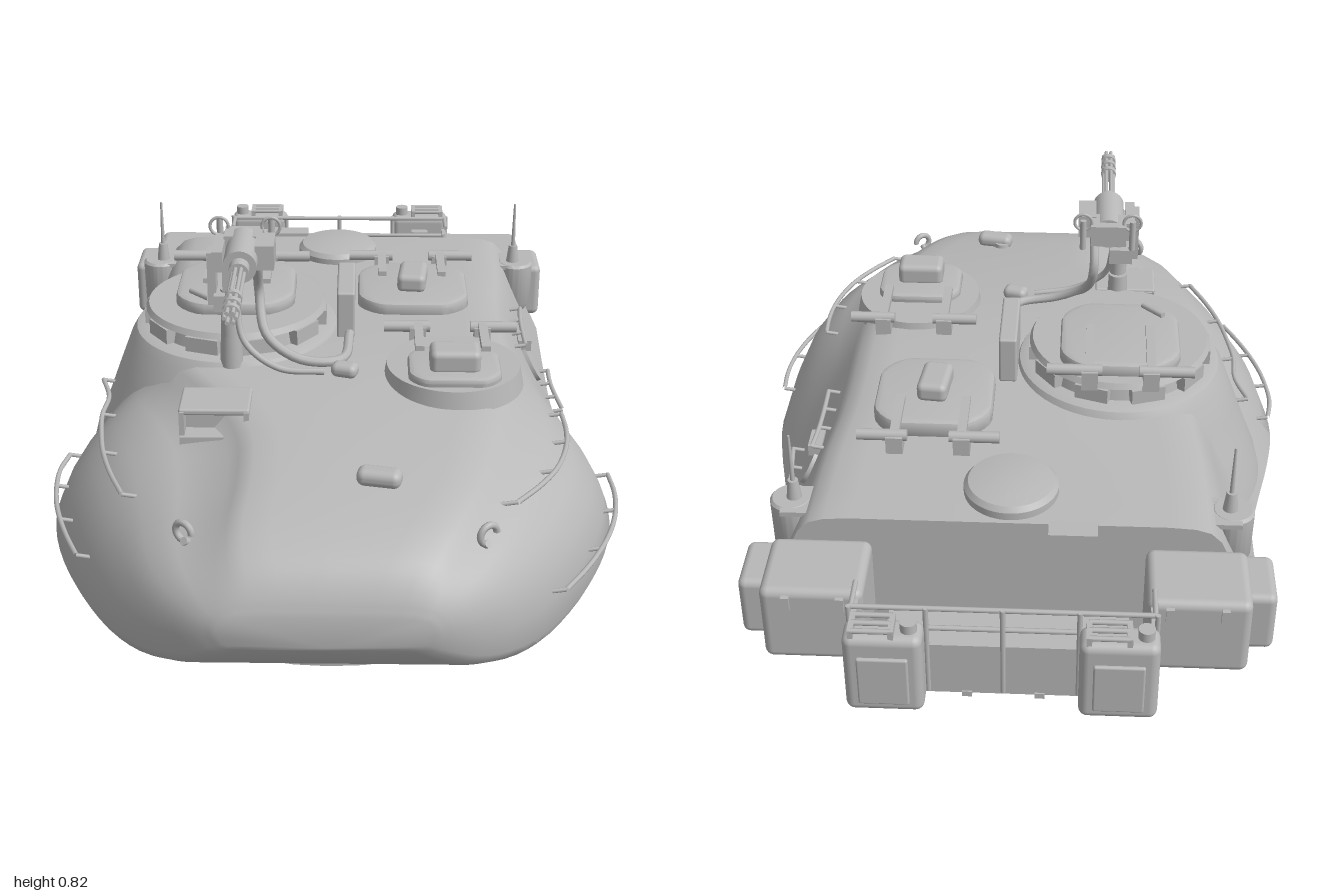
import * as THREE from 'three';
import { toCreasedNormals } from 'three/addons/utils/BufferGeometryUtils.js';
import { RoundedBoxGeometry } from 'three/addons/geometries/RoundedBoxGeometry.js';

const grey = new THREE.MeshStandardMaterial({ color: 0xb8b8b8 });
grey.name = 'plain grey';
const V = (x, y, z) => new THREE.Vector3(x, y, z);
const { lerp, mapLinear, smoothstep } = THREE.MathUtils;

// Hull stations along z: half width, left top width, bottom height, top height, right top width
const stationZ = [-0.63, -0.35, -0.2, -0.05, 0.1, 0.25, 0.4, 0.55, 0.7, 0.82, 0.9, 0.95, 0.985, 1];
const stationV = [
  0.6, 0.46, 0.135, 0.46, 0.46, 0.6, 0.45, 0.093, 0.465, 0.45, 0.605, 0.435, 0.071, 0.47, 0.435,
  0.635, 0.43, 0.05, 0.475, 0.43, 0.67, 0.43, 0.045, 0.48, 0.42, 0.692, 0.425, 0.045, 0.478, 0.39,
  0.68, 0.41, 0.045, 0.465, 0.29, 0.635, 0.38, 0.045, 0.445, 0.22, 0.56, 0.34, 0.045, 0.418, 0.21,
  0.475, 0.29, 0.048, 0.39, 0.22, 0.395, 0.25, 0.065, 0.36, 0.22, 0.325, 0.225, 0.095, 0.327, 0.21,
  0.26, 0.205, 0.14, 0.28, 0.2, 0.215, 0.19, 0.17, 0.245, 0.19];
const spline = new THREE.CubicInterpolant(stationZ, stationV, 5, new Float32Array(5));

// Half cross-section, bottom centre to top centre; the flanks swell towards the nose
function profile(z, side) {
  const [w, left, b, h, right] = spline.evaluate(z), t = side > 0 ? left : right, d = h - b;
  const ax = w, ay = b + d * 0.1, bx = t + 0.02, by = h - d * 0.12;
  const len = Math.hypot(bx - ax, by - ay), swell = (side > 0 ? 0.19 : 0.25) * d * smoothstep(z, 0, 0.6);
  const flank = [0.2, 0.4, 0.6, 0.8].map(f => {
    const k = swell * 4 * f * (1 - f) / len;
    return [lerp(ax, bx, f) + (by - ay) * k, lerp(ay, by, f) + (ax - bx) * k];
  });
  return [[0, b], [w - 0.05, b], [w - 0.012, b + d * 0.03], [ax, ay], ...flank, [bx, by],
    [t - 0.005, h - d * 0.045], [t - 0.04, h - d * 0.012], [t - 0.1, h], [0, h]];
}

// Distance of the flank from the middle at a given height, with the cupola cone on -x
function sideX(side, z, y) {
  const p = profile(z, side), i = p.findIndex((q, k) => k > 3 && q[1] >= y);
  const hull = mapLinear(y, p[i - 1][1], p[i][1], p[i - 1][0], p[i][0]);
  const r = mapLinear(y, 0.2, 0.36, 0.372, 0.307);
  const cone = 0.25 + Math.sqrt(Math.max(0, r * r - (z - 0.03) ** 2));
  return side < 0 ? Math.max(hull, cone) : hull;
}

function hullGeometry() {
  const pos = [], idx = [], sub = 3, rows = (stationZ.length - 1) * sub + 1;
  let n = 0;
  for (let i = 0; i < rows; i++) {
    const k = Math.min(Math.floor(i / sub), stationZ.length - 2);
    const z = lerp(stationZ[k], stationZ[k + 1], i / sub - k);
    const ring = [...profile(z, 1), ...profile(z, -1).slice(1, -1).reverse().map(([x, y]) => [-x, y])];
    n = ring.length;
    ring.forEach(([x, y]) => pos.push(x, y, z));
  }
  for (let i = 0; i < rows - 1; i++) for (let j = 0; j < n; j++) {
    const a = i * n + j, b = i * n + (j + 1) % n;
    idx.push(a, b, b + n, a, b + n, a + n);
  }
  const last = (rows - 1) * n;
  for (let j = 1; j < n - 1; j++) idx.push(0, j + 1, j, last, last + j, last + j + 1);
  const g = new THREE.BufferGeometry();
  g.setAttribute('position', new THREE.Float32BufferAttribute(pos, 3));
  g.setIndex(idx);
  return toCreasedNormals(g, 0.8);
}

export function createModel() {
  const root = new THREE.Group();
  root.name = 'turret';
  const add = (name, g, x = 0, y = 0, z = 0) => {
    const m = new THREE.Mesh(g, grey);
    m.name = name;
    m.position.set(x, y, z);
    root.add(m);
    return m;
  };
  const box = (name, w, h, d, x, y, z) => add(name, new THREE.BoxGeometry(w, h, d), x, y, z);
  const round = (name, w, h, d, r, x, y, z) => add(name, new RoundedBoxGeometry(w, h, d, 3, r), x, y, z);
  const disc = (name, r1, r2, h, x, y, z) => add(name, new THREE.CylinderGeometry(r1, r2, h, 48), x, y, z);
  const lathe = (name, pts, x, y, z) =>
    add(name, toCreasedNormals(new THREE.LatheGeometry(pts.map(p => new THREE.Vector2(...p)), 56), 0.6), x, y, z);
  // Straight rod between two points
  const rod = (name, a, b, r, sides = 12) => {
    const m = add(name, new THREE.CylinderGeometry(r, r, a.distanceTo(b), sides));
    m.position.copy(a).add(b).multiplyScalar(0.5);
    m.quaternion.setFromUnitVectors(V(0, 1, 0), b.clone().sub(a).normalize());
  };
  const tube = (name, pts, r) => add(name, new THREE.TubeGeometry(new THREE.CatmullRomCurve3(pts), 30, r, 8));

  // Hull and bearing ring
  add('hull', hullGeometry());
  disc('bearingRing', 0.583, 0.583, 0.05, 0, 0.025, 0.25);

  // Commander cupola
  const cx = -0.25, cz = 0.03;
  lathe('cupolaCone', [[0.385, 0.15], [0.372, 0.2], [0.335, 0.29], [0.303, 0.375], [0.27, 0.46], [0.255, 0.485],
    [0.235, 0.492], [0, 0.492]], cx, 0, cz);
  disc('cupolaDrum', 0.205, 0.215, 0.05, cx, 0.512, cz);
  for (let i = 0; i < 10; i++) {
    const a = (i + 0.5) / 10 * Math.PI * 2;
    box('visionBlock', 0.085, 0.038, 0.03, cx + Math.sin(a) * 0.215, 0.512, cz + Math.cos(a) * 0.215).rotation.y = a;
  }
  disc('cupolaRoof', 0.222, 0.23, 0.014, cx, 0.541, cz);

  // Hatches: round-cornered lid, hinge bar ends, two arms
  function hatch(x, z, y, w, d, th, hingeZ, barHalf, armX, armEnd) {
    const c = 0.26 * Math.min(w, d), a = w / 2, b = d / 2, s = new THREE.Shape();
    s.moveTo(c - a, -b).lineTo(a - c, -b).bezierCurveTo(a - c * 0.6, -b, a, c * 0.6 - b, a, c - b)
      .lineTo(a, b - c).bezierCurveTo(a, b - c * 0.6, a - c * 0.6, b, a - c, b)
      .lineTo(c - a, b).bezierCurveTo(c * 0.6 - a, b, -a, b - c * 0.6, -a, b - c)
      .lineTo(-a, c - b).bezierCurveTo(-a, c * 0.6 - b, c * 0.6 - a, -b, c - a, -b);
    const g = new THREE.ExtrudeGeometry(s, { depth: th, curveSegments: 5, bevelSize: 0.012, bevelOffset: -0.012, bevelThickness: 0.012, bevelSegments: 2 });
    add('hatchLid', toCreasedNormals(g.rotateX(-Math.PI / 2), 0.5), x, y, z);
    const top = y + th + 0.012;
    for (const e of [-1, 1]) {
      box('hingeArm', 0.022, 0.018, armEnd - hingeZ, x + e * armX, top + 0.004, (armEnd + hingeZ) / 2);
      box('hingeFoot', 0.04, 0.05, 0.04, x + e * armX, top - 0.022, hingeZ);
      rod('hingeBar', V(x + e * (armX - 0.03), top, hingeZ), V(x + e * barHalf, top, hingeZ), 0.014);
    }
  }
  hatch(cx, -0.01, 0.548, 0.3, 0.3, 0.018, -0.18, 0.18, 0.075, 0.01);
  rod('lidGrip', V(-0.36, 0.584, 0.07), V(-0.31, 0.584, 0.12), 0.008);
  disc('loaderRing', 0.16, 0.17, 0.05, 0.29, 0.473, 0.3);
  hatch(0.29, 0.34, 0.498, 0.22, 0.19, 0.008, 0.135, 0.165, 0.08, 0.28);
  round('loaderPeriscope', 0.12, 0.06, 0.08, 0.016, 0.29, 0.537, 0.355);
  hatch(0.205, -0.175, 0.468, 0.29, 0.29, 0.026, -0.37, 0.17, 0.08, -0.22);
  round('hatchPeriscope', 0.075, 0.05, 0.12, 0.016, 0.205, 0.525, -0.17).rotation.y = -0.1;

  // Rear roof ventilator
  lathe('ventilator', [[0.11, 0], [0.11, 0.022], [0.1, 0.034], [0.06, 0.041], [0, 0.043]], 0, 0.457, -0.51);

  // Gunner sight with hood and recessed window
  box('sightHousing', 0.15, 0.09, 0.09, -0.27, 0.42, 0.425);
  round('sightHood', 0.165, 0.016, 0.12, 0.006, -0.27, 0.463, 0.445);
  for (const x of [-0.345, -0.195]) box('sightCheek', 0.012, 0.09, 0.12, x, 0.42, 0.45);
  box('sightSill', 0.16, 0.03, 0.13, -0.27, 0.392, 0.455);

  // Roof lamp and small fittings
  round('roofLamp', 0.1, 0.04, 0.05, 0.018, 0.11, 0.428, 0.73).rotation.y = -0.2;
  disc('lampFoot', 0.02, 0.025, 0.04, 0.09, 0.41, 0.71);
  round('roofKnob', 0.065, 0.035, 0.045, 0.016, 0.03, 0.49, 0.325).rotation.y = -0.3;

  // Multi-barrel gun on its post
  const gx = -0.215, gy = 0.757;
  disc('gunPostBase', 0.024, 0.028, 0.12, -0.245, 0.53, 0.27);
  disc('gunPost', 0.022, 0.022, 0.12, -0.245, 0.62, 0.28);
  box('gunCradle', 0.06, 0.04, 0.08, -0.25, 0.655, 0.28);
  box('gunYoke', 0.02, 0.13, 0.05, -0.285, 0.71, 0.275);
  box('gunYoke', 0.04, 0.09, 0.04, -0.24, 0.7, 0.28);
  rod('gunBody', V(gx, gy, 0.18), V(gx, gy, 0.34), 0.04, 24);
  rod('gunCollar', V(gx, gy, 0.335), V(gx, gy, 0.375), 0.024, 20);
  box('gunReceiver', 0.09, 0.055, 0.07, gx, gy + 0.005, 0.19);
  box('ammoFeeder', 0.045, 0.06, 0.09, gx + 0.055, gy + 0.005, 0.25);
  box('gunSideBox', 0.025, 0.05, 0.12, gx - 0.055, gy, 0.25);
  for (let i = 0; i < 6; i++) {
    const a = i / 6 * Math.PI * 2, x = gx + Math.cos(a) * 0.013, y = gy + Math.sin(a) * 0.013;
    rod('gunBarrel', V(x, y, 0.34), V(x, y, 0.63), 0.005, 8);
  }
  for (const z of [0.52, 0.56, 0.595]) rod('barrelClamp', V(gx, gy, z - 0.008), V(gx, gy, z + 0.008), 0.02, 20);
  for (const x of [-0.275, -0.15]) {
    add('gunHandle', new THREE.TorusGeometry(0.022, 0.004, 8, 20), x, 0.795, 0.17);
    rod('gunGrip', V(x, 0.73, 0.15), V(x, 0.81, 0.15), 0.008);
  }
  tube('ammoChute', [V(-0.18, 0.72, 0.24), V(-0.18, 0.64, 0.2), V(-0.16, 0.55, 0.26), V(-0.08, 0.5, 0.29),
    V(0.02, 0.49, 0.27), V(0.04, 0.5, 0.14)], 0.012);
  tube('cable', [V(-0.23, 0.66, 0.28), V(-0.21, 0.56, 0.32), V(-0.13, 0.5, 0.34), V(-0.02, 0.485, 0.33)], 0.008);
  round('ammoBox', 0.045, 0.125, 0.21, 0.006, 0.03, 0.537, 0.015);

  // Side grab rails follow the hull
  function rail(side, y, z0, z1) {
    const pts = [];
    for (let i = 0; i <= 6; i++) {
      const z = lerp(z0, z1, i / 6), x = sideX(side, z, y);
      pts.push(V(side * (x + 0.028), y + 0.006, z));
      if (i % 2 === 0) rod('railStud', V(side * (x - 0.01), y, z), pts[i], 0.005, 8);
    }
    tube('grabRail', pts, 0.006);
  }
  rail(1, 0.355, 0.3, 0.72);
  rail(1, 0.175, 0.28, 0.79);
  rail(-1, 0.325, 0.07, 0.65);
  rail(-1, 0.175, 0.2, 0.67);
  rail(1, 0.385, -0.27, -0.03);
  rail(1, 0.195, -0.27, -0.03);

  // Round port with a hinge on the left flank
  const px = sideX(1, -0.18, 0.275), out = V(0.89, 0.46, 0);
  const at = d => V(px, 0.275, -0.18).addScaledVector(out, d);
  rod('sidePort', at(-0.02), at(0.012), 0.062, 36);
  box('sidePortHinge', 0.035, 0.03, 0.07, px - 0.015, 0.335, -0.18);

  for (const s of [-1, 1]) {
    // Lifting hooks near the nose
    const hx = sideX(s, 0.83, 0.335);
    const hook = add('liftingHook', new THREE.TorusGeometry(0.022, 0.008, 8, 20, 4.6), s * (hx + 0.012), 0.352, 0.84);
    hook.rotation.y = s * 0.6;
    rod('hookStem', V(s * (hx - 0.01), 0.31, 0.82), V(s * (hx + 0.012), 0.335, 0.85), 0.009);

    // Antenna pot, bracket and whip
    lathe('antennaPot', [[0, 0.285], [0.035, 0.288], [0.048, 0.31], [0.05, 0.425], [0.044, 0.432], [0, 0.432]], s * 0.512, 0, -0.52);
    box('antennaBracket', 0.09, 0.012, 0.1, s * 0.485, 0.425, -0.53);
    disc('antennaBase', 0.012, 0.018, 0.05, s * 0.505, 0.455, -0.52);
    disc('antennaWhip', 0.003, 0.006, 0.14, s * 0.505, 0.535, -0.52);

    // Rear stowage bins
    round('stowageBin', 0.23, 0.2, 0.19, 0.02, s * 0.425, 0.305, -0.725);
    round('binPod', 0.13, 0.155, 0.15, 0.018, s * 0.535, 0.298, -0.685);
    for (const x of [0.36, 0.48]) box('binLatch', 0.018, 0.035, 0.012, s * x, 0.375, -0.823);

    // Fuel cans hung on the basket
    const fx = s * 0.25;
    round('fuelCan', 0.17, 0.21, 0.075, 0.02, fx, 0.315, -0.94);
    round('canRib', 0.11, 0.13, 0.012, 0.005, fx, 0.305, -0.979);
    for (const z of [-0.965, -0.94, -0.915]) rod('canHandle', V(fx - 0.02, 0.434, z), V(fx + 0.065, 0.434, z), 0.006, 8);
    for (const x of [-0.02, 0.065]) box('canHandlePost', 0.012, 0.03, 0.06, fx + x, 0.422, -0.94);
    disc('canCap', 0.018, 0.018, 0.035, fx - 0.055, 0.425, -0.94);
    for (const y of [0.26, 0.37]) box('canBracket', 0.05, 0.02, 0.03, fx, y, -0.895);

    // Basket side panels
    box('basketSide', 0.012, 0.2, 0.07, s * 0.324, 0.29, -0.85);
    rod('basketSideRail', V(s * 0.325, 0.425, -0.8), V(s * 0.325, 0.425, -0.88), 0.006, 8);
  }

  // Rear basket: floor, back panel, rails and slats
  box('basketFloor', 0.56, 0.012, 0.26, 0, 0.195, -0.755);
  box('basketSill', 0.66, 0.012, 0.07, 0, 0.194, -0.85);
  box('basketBack', 0.66, 0.14, 0.012, 0, 0.255, -0.88);
  for (const y of [0.37, 0.425]) rod('basketRail', V(-0.33, y, -0.88), V(0.33, y, -0.88), 0.006, 8);
  for (const x of [-0.33, -0.165, 0, 0.165, 0.33]) rod('basketPost', V(x, 0.19, -0.885), V(x, 0.43, -0.885), 0.006, 8);
  for (const x of [-0.24, -0.08, 0.08, 0.24]) box('basketSlat', 0.022, 0.014, 0.27, x, 0.184, -0.755);
  box('rearLocker', 0.11, 0.14, 0.05, -0.145, 0.4, -0.655);
  return root;
}
